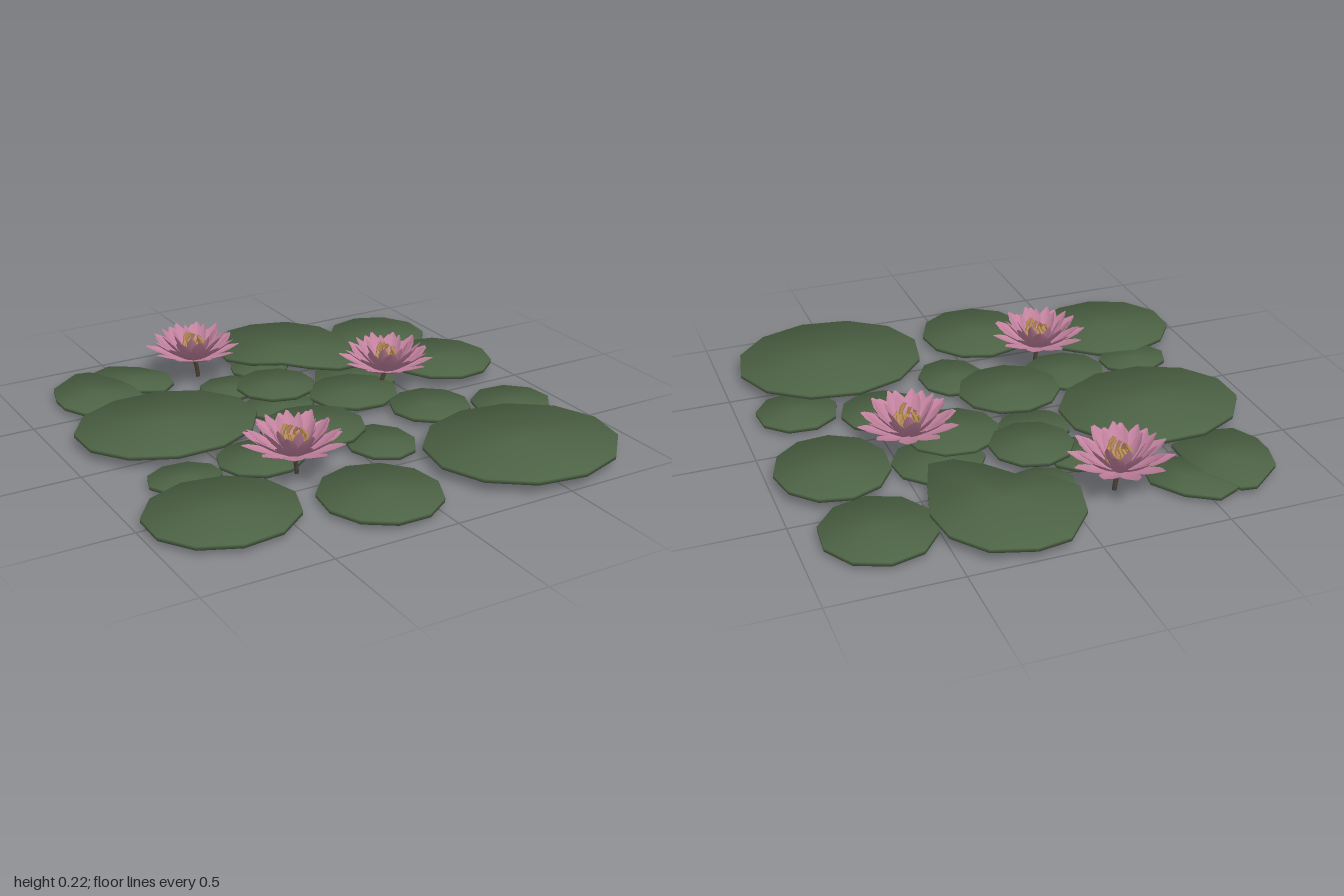
import * as THREE from 'three';

const mat = (name, color, side = THREE.FrontSide) => {
  const m = new THREE.MeshStandardMaterial({ color, side });
  m.name = name;
  return m;
};

// Low-poly oval outline, clockwise seen from above
function oval(x, z, rx, rz, sides, phase) {
  return Array.from({ length: sides }, (_, i) => {
    const t = phase + (i / sides) * Math.PI * 2;
    return [x + rx * Math.cos(t), z + rz * Math.sin(t)];
  });
}

// Thin closed slab with a softly rounded rim
function padGeometry(outline, y, thick) {
  const n = outline.length, pos = [], nor = [], idx = [];
  const cx = outline.reduce((s, p) => s + p[0], 0) / n;
  const cz = outline.reduce((s, p) => s + p[1], 0) / n;
  for (const s of [1, -1]) {
    pos.push(cx, y + s * thick / 2, cz);
    nor.push(0, s, 0);
    for (const [x, z] of outline) {
      const d = new THREE.Vector3(x - cx, 0, z - cz).normalize().multiplyScalar(0.75);
      d.y = s;
      d.normalize();
      pos.push(x, y + s * thick / 2, z);
      nor.push(d.x, d.y, d.z);
    }
  }
  const b = n + 1;
  for (let i = 0; i < n; i++) {
    const p = 1 + i, q = 1 + (i + 1) % n;
    idx.push(0, q, p, b, b + p, b + q, p, q, b + q, p, b + q, b + p);
  }
  const g = new THREE.BufferGeometry();
  g.setAttribute('position', new THREE.Float32BufferAttribute(pos, 3));
  g.setAttribute('normal', new THREE.Float32BufferAttribute(nor, 3));
  g.setIndex(idx);
  return g;
}

// Cupped petal along +x: from the heart outwards and up to the tip
function petalGeometry(tipR, tipY, width, cup) {
  const g = new THREE.PlaneGeometry(1, 1, 5, 4);
  const p = g.attributes.position;
  const widths = [0.3, 0.55, 0.85, 1, 0.8, 0.12];
  for (let i = 0; i < p.count; i++) {
    const t = p.getX(i) + 0.5, v = p.getY(i) * 2;
    const w = widths[Math.round(t * 5)];
    const r = 0.02 + (tipR - 0.02) * t;
    const y = tipY * (0.55 * t + 0.45 * t * t) + cup * v * v * w;
    p.setXYZ(i, r, y, -v * w * width / 2);
  }
  g.computeVertexNormals();
  return g;
}

export function createModel() {
  const model = new THREE.Group();
  model.name = 'waterLilies';
  const green = mat('leafGreen', 0x4d6345);
  const pink = mat('petalPink', 0xc483a0, THREE.DoubleSide);
  const gold = mat('stamenGold', 0xc4965a);
  const brown = mat('stemBrown', 0x4a3f36);
  const add = (parent, name, geo, material) => {
    const m = new THREE.Mesh(geo, material);
    m.name = name;
    parent.add(m);
    return m;
  };

  // Oval pads: x, z, radius x, radius z, height, sides
  const pads = [
    [-0.56, -0.19, 0.37, 0.31, 0.044, 12],
    [-0.53, -0.17, 0.17, 0.16, 0.022, 10],
    [0.71, -0.66, 0.215, 0.22, 0.024, 10],
    [0.76, -0.23, 0.22, 0.235, 0.046, 11],
    [0.535, 0.65, 0.39, 0.35, 0.046, 12],
    [0.77, 0.275, 0.165, 0.16, 0.024, 9],
    [0.455, 0.15, 0.165, 0.165, 0.03, 10],
    [0.25, -0.115, 0.19, 0.18, 0.036, 10],
    [0.36, -0.28, 0.18, 0.17, 0.022, 10],
    [0, -0.325, 0.165, 0.165, 0.044, 10],
    [-0.16, -0.43, 0.13, 0.12, 0.024, 9],
    [-0.07, -0.17, 0.15, 0.13, 0.022, 9],
    [-0.08, 0.125, 0.21, 0.2, 0.044, 11],
    [0.095, 0.34, 0.135, 0.16, 0.024, 9],
    [-0.37, 0.23, 0.17, 0.16, 0.022, 10],
    [-0.69, 0.24, 0.145, 0.12, 0.02, 9],
    [-0.695, 0.555, 0.29, 0.265, 0.026, 11],
    [-0.14, 0.71, 0.23, 0.24, 0.024, 11],
    [0.06, -0.58, 0.13, 0.115, 0.022, 9],
  ];
  const padGroup = new THREE.Group();
  padGroup.name = 'lilyPads';
  model.add(padGroup);
  pads.forEach(([x, z, rx, rz, y, sides], i) =>
    add(padGroup, 'lilyPad', padGeometry(oval(x, z, rx, rz, sides, 0.25 + i * 0.7), y, 0.016), green));

  // Irregular pads along the back
  const dropPad = [[-0.05, -0.68], [-0.01, -0.84], [0.11, -0.98], [0.24, -1], [0.4, -0.95], [0.5, -0.82],
    [0.52, -0.66], [0.47, -0.48], [0.42, -0.34], [0.32, -0.34], [0.22, -0.42], [0.14, -0.52], [0.02, -0.58]];
  const tallPad = [[-0.84, -0.66], [-0.81, -0.77], [-0.67, -0.88], [-0.61, -0.87], [-0.54, -0.74],
    [-0.51, -0.63], [-0.51, -0.5], [-0.69, -0.45], [-0.79, -0.47], [-0.84, -0.57]];
  const slantPad = [[-0.6, -0.86], [-0.51, -0.9], [-0.4, -0.83], [-0.32, -0.71], [-0.34, -0.6],
    [-0.41, -0.54], [-0.52, -0.6], [-0.6, -0.75]];
  add(padGroup, 'dropShapedPad', padGeometry(dropPad, 0.045, 0.016), green);
  add(padGroup, 'tallPad', padGeometry(tallPad, 0.026, 0.016), green);
  add(padGroup, 'slantedPad', padGeometry(slantPad, 0.022, 0.016), green);

  // Small pink leaf hidden under the middle pads
  add(model, 'pinkLeaf', padGeometry(oval(0.25, -0.06, 0.085, 0.08, 9, 0), 0.016, 0.01), pink);

  // Petal rings: count, tip radius, tip height, width, cup, turn
  const rings = [
    [10, 0.2, 0.065, 0.075, 0.008, 0],
    [10, 0.175, 0.1, 0.07, 0.012, 0.31],
    [9, 0.14, 0.125, 0.06, 0.014, 0.1],
    [7, 0.095, 0.128, 0.045, 0.012, 0.4],
  ].map(([n, r, h, w, c, turn]) => ({ n, turn, geo: petalGeometry(r, h, w, c) }));

  const stamen = (a, r, h) => new THREE.TubeGeometry(new THREE.CatmullRomCurve3([
    new THREE.Vector3(0.02 * Math.cos(a), 0.005, 0.02 * Math.sin(a)),
    new THREE.Vector3(r * Math.cos(a), h * 0.65, r * Math.sin(a)),
    new THREE.Vector3(r * 0.75 * Math.cos(a + 0.4), h, r * 0.75 * Math.sin(a + 0.4)),
  ]), 4, 0.007, 5);

  // Flowers: x, z, turn, stem foot offset
  [[-0.21, -0.67, 0.2, 0.02], [0.435, -0.15, 0, -0.03], [-0.31, 0.38, 0.45, 0.02]].forEach(([x, z, turn, foot]) => {
    const flower = new THREE.Group();
    flower.name = 'flower';
    flower.position.set(x, 0.085, z);
    flower.rotation.y = turn;
    for (const ring of rings) {
      for (let i = 0; i < ring.n; i++) {
        const petal = add(flower, 'petal', ring.geo, pink);
        petal.rotation.y = ring.turn + (i / ring.n) * Math.PI * 2;
        petal.scale.setScalar(1 - 0.04 * ((i * 3) % 4) / 3);
      }
    }
    for (let i = 0; i < 13; i++) {
      add(flower, 'stamen', stamen(i * 2.4, 0.035 + 0.01 * (i % 3), 0.085 + 0.01 * (i % 4)), gold);
    }
    // Slightly leaning stem
    const path = new THREE.CatmullRomCurve3([
      new THREE.Vector3(foot, -0.085, 0), new THREE.Vector3(foot * 0.7, -0.04, 0), new THREE.Vector3(0, 0.008, 0)]);
    add(flower, 'stem', new THREE.TubeGeometry(path, 4, 0.009, 6), brown);
    model.add(flower);
  });
  return model;
}
